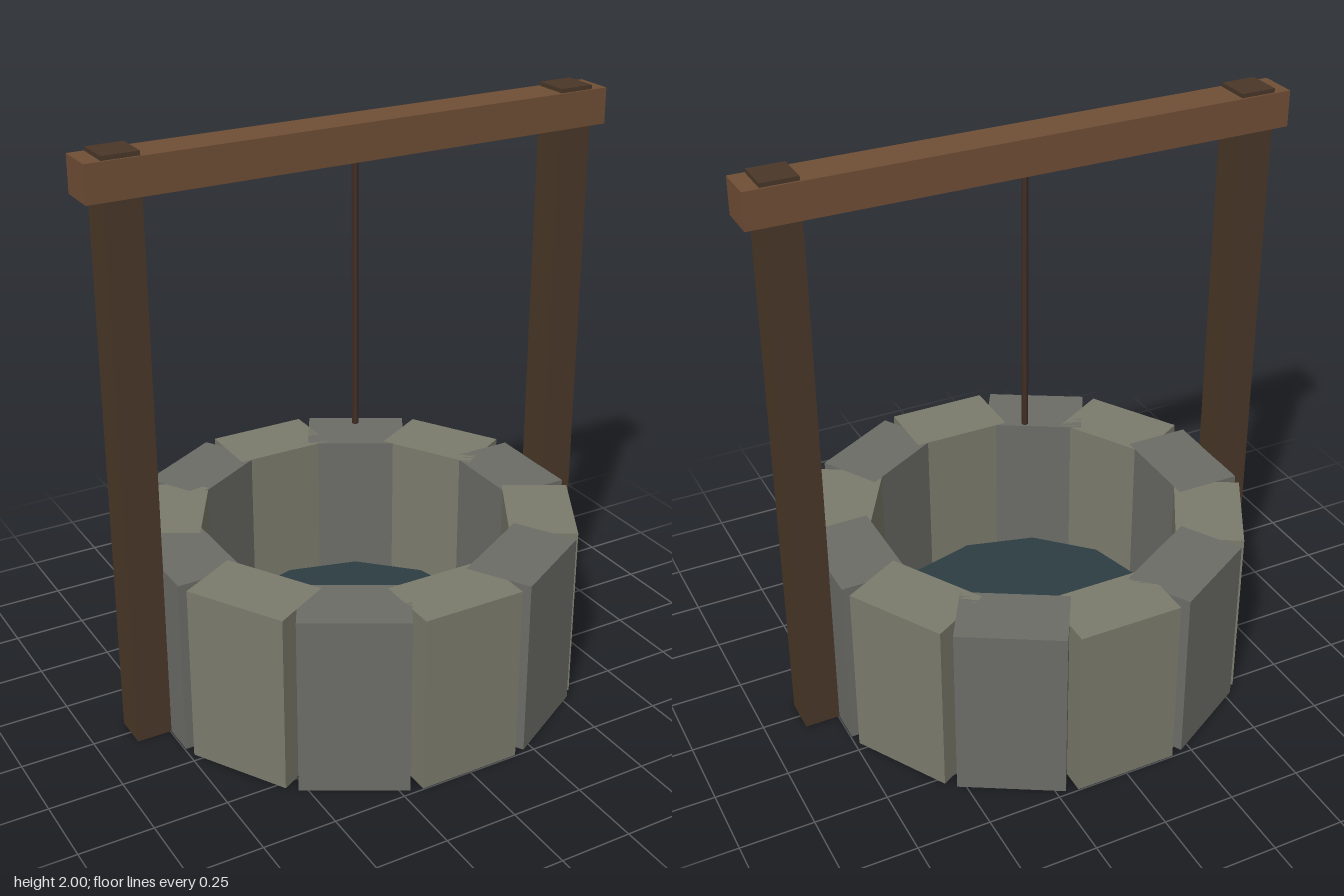
import * as THREE from 'three';

const mat = (color) => new THREE.MeshStandardMaterial({ color, flatShading: true });

export function createModel() {
  const well = new THREE.Group();
  well.name = 'well';

  const add = (parent, name, geometry, material, x, y, z) => {
    const mesh = new THREE.Mesh(geometry, material);
    mesh.name = name;
    mesh.position.set(x, y, z);
    parent.add(mesh);
    return mesh;
  };

  const lightStone = mat(0x7a7a6c);
  const darkStone = mat(0x6b6c66);
  const postWood = mat(0x4a3728);
  const beamWood = mat(0x6f4e35);

  // Ring of twelve upright stone blocks in two alternating shades
  const ring = new THREE.Group();
  ring.name = 'stoneRing';
  well.add(ring);
  const blockCount = 12, inner = 0.517, outer = 0.746, height = 0.62;
  const blockGeometry = new THREE.BoxGeometry(0.356, height, outer - inner);
  const radius = (inner + outer) / 2;
  for (let i = 0; i < blockCount; i++) {
    const a = (i / blockCount) * Math.PI * 2;
    const block = add(ring, 'stoneBlock', blockGeometry, i % 2 ? darkStone : lightStone,
      Math.sin(a) * radius, height / 2, Math.cos(a) * radius);
    block.rotation.y = a;
  }

  // Water disc low inside the ring
  add(well, 'water', new THREE.CylinderGeometry(0.495, 0.495, 0.03, 12), mat(0x2d3d42), 0, 0.115, 0);

  // Posts on both sides, poking slightly through the crossbeam
  const postGeometry = new THREE.BoxGeometry(0.122, 2, 0.122);
  for (const side of [-1, 1]) {
    add(well, side > 0 ? 'leftPost' : 'rightPost', postGeometry, postWood, side * 0.806, 1, 0);
  }

  // Crossbeam and hanging rope
  add(well, 'crossbeam', new THREE.BoxGeometry(1.845, 0.122, 0.136), beamWood, 0, 1.925, 0);
  add(well, 'rope', new THREE.CylinderGeometry(0.011, 0.011, 0.96, 6), mat(0x3f2e24), 0, 1.425, 0);

  return well;
}
